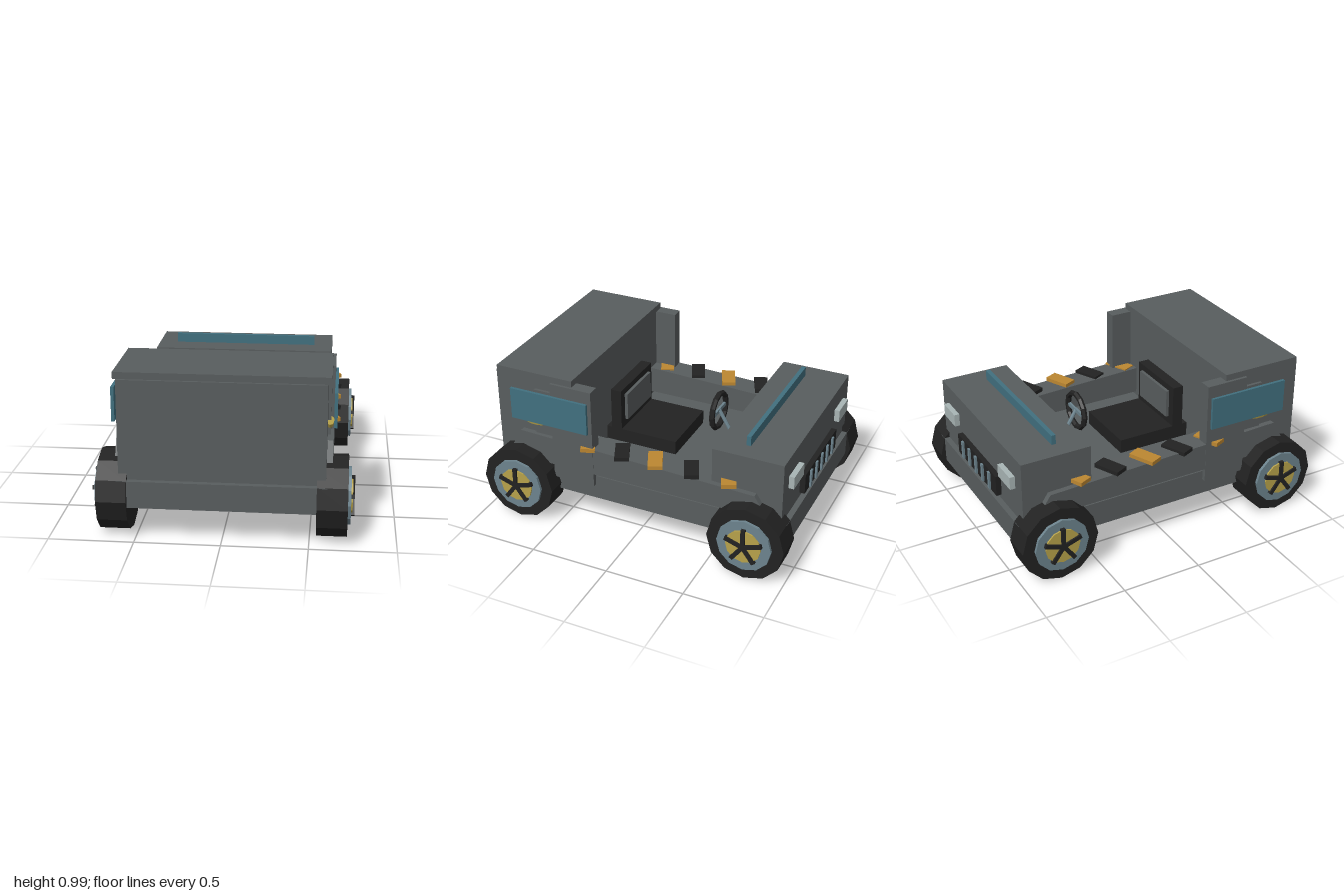
import * as THREE from 'three';

const mat = (name, color) => {
  const m = new THREE.MeshStandardMaterial({ color, flatShading: true });
  m.name = name;
  return m;
};

export function createModel() {
  const grey = mat('body grey', 0x585d5e);
  const black = mat('rubber black', 0x222222);
  const steel = mat('steel blue', 0x6c838d);
  const glass = mat('window blue', 0x41707f);
  const gold = mat('hub gold', 0xb7a24a);
  const amber = mat('amber', 0xbc8731);
  const lamp = mat('lamp grey', 0xa9b5b5);

  const model = new THREE.Group();
  model.name = 'offroadTruck';

  const add = (name, geo, material, parent = model) => {
    const m = new THREE.Mesh(geo, material);
    m.name = name;
    parent.add(m);
    return m;
  };
  // Box given by its minimum and maximum on each axis
  const box = (name, material, x0, x1, y0, y1, z0, z1, parent = model) => {
    const m = add(name, new THREE.BoxGeometry(x1 - x0, y1 - y0, z1 - z0), material, parent);
    m.position.set((x0 + x1) / 2, (y0 + y1) / 2, (z0 + z1) / 2);
    return m;
  };
  // Same box on the left or right side (s = 1 or -1)
  const sideBox = (name, material, s, x0, x1, ...rest) =>
    s > 0 ? box(name, material, x0, x1, ...rest) : box(name, material, -x1, -x0, ...rest);

  // Main body
  box('chassis', grey, -0.6, 0.6, 0.2, 0.36, -0.97, 0.97);
  box('cabin', grey, -0.59, 0.59, 0.36, 0.95, 0.41, 0.935);
  box('roof', grey, -0.61, 0.61, 0.95, 0.99, 0.405, 0.918);
  box('hood', grey, -0.59, 0.59, 0.36, 0.75, -0.935, -0.495);
  box('hoodStrip', glass, -0.47, 0.47, 0.75, 0.81, -0.685, -0.658);

  // Grille with slats
  box('grille', black, -0.29, 0.29, 0.39, 0.52, -0.968, -0.93);
  for (let i = -2; i <= 2; i++) {
    box('grilleSlat', steel, i * 0.1 - 0.012, i * 0.1 + 0.012, 0.395, 0.51, -0.98, -0.96);
  }

  // Side panel with sloped fender ends, drawn as (z, y)
  const panel = new THREE.Shape([
    [0.84, 0.385], [0.84, 0.45], [0.77, 0.576], [-0.775, 0.524], [-0.85, 0.41], [-0.85, 0.385],
  ].map(([z, y]) => new THREE.Vector2(z, y)));
  const panelGeo = new THREE.ExtrudeGeometry(panel, { depth: 0.16, bevelEnabled: false });
  panelGeo.rotateY(-Math.PI / 2).translate(0.08, 0, 0);

  for (const s of [1, -1]) {
    add('sidePanel', panelGeo, grey).position.x = s * 0.545;
    sideBox('pillar', grey, s, 0.55, 0.627, 0.3, 0.95, 0.27, 0.545);
    sideBox('windowPost', grey, s, 0.585, 0.608, 0.576, 0.875, 0.54, 0.67);
    sideBox('sideWindow', glass, s, 0.625, 0.644, 0.665, 0.87, 0.295, 0.815);
    sideBox('headlight', lamp, s, 0.33, 0.5, 0.55, 0.63, -0.968, -0.93);

    // Rounded handle below the window
    const handle = add('handle', new THREE.CylinderGeometry(0.083, 0.06, 0.026, 10), gold);
    handle.scale.x = 0.3;
    handle.position.set(s * 0.602, 0.65, 0.672);

    // Slanted pads along the side, alternating in colour
    [0.33, 0.1, -0.12, -0.355, -0.59].forEach((z, i) => {
      const pad = add('sidePad', new THREE.BoxGeometry(0.17, 0.025, 0.088), i % 2 ? black : amber);
      pad.position.set(s * 0.565, 0.557, z);
      pad.rotation.y = 0.42;
    });
  }

  // Seat
  box('seatCushion', black, -0.215, 0.215, 0.39, 0.48, -0.09, 0.39);
  box('seatBack', black, -0.215, 0.215, 0.48, 0.75, 0.285, 0.355);
  box('seatBackPad', grey, -0.165, 0.165, 0.53, 0.71, 0.265, 0.29);

  // Steering wheel and column
  const ring = add('steeringWheel', new THREE.TorusGeometry(0.112, 0.018, 6, 12), black);
  ring.position.set(0, 0.645, -0.288);
  box('steeringSpoke', steel, -0.1, 0.1, 0.633, 0.657, -0.295, -0.281);
  const top = new THREE.Vector3(0, 0.65, -0.29);
  const foot = new THREE.Vector3(0, 0.35, -0.47);
  const column = add('steeringColumn', new THREE.CylinderGeometry(0.012, 0.012, top.distanceTo(foot), 8), steel);
  column.position.copy(top).add(foot).multiplyScalar(0.5);
  column.quaternion.setFromUnitVectors(new THREE.Vector3(0, 1, 0), top.clone().sub(foot).normalize());

  // Wheels: each disc spans x0 to x1 along the axle
  const disc = (name, material, r, x0, x1, parent) => {
    const geo = new THREE.CylinderGeometry(r, r, x1 - x0, 12).rotateZ(Math.PI / 2);
    add(name, geo, material, parent).position.x = (x0 + x1) / 2;
  };
  for (const s of [1, -1]) {
    for (const z of [0.76, -0.76]) {
      const wheel = new THREE.Group();
      wheel.name = 'wheel';
      wheel.position.set(0, 0.241, z);
      wheel.rotation.y = s > 0 ? 0 : Math.PI;
      disc('tyre', black, 0.241, 0.54, 0.716, wheel);
      disc('rim', steel, 0.17, 0.7, 0.734, wheel);
      disc('hub', gold, 0.11, 0.72, 0.744, wheel);
      for (let i = 0; i < 5; i++) {
        const geo = new THREE.BoxGeometry(0.03, 0.12, 0.026).translate(0, 0.06, 0);
        const spoke = add('spoke', geo, black, wheel);
        spoke.position.x = 0.74;
        spoke.rotation.x = i * Math.PI * 2 / 5;
      }
      model.add(wheel);
    }
  }
  return model;
}
